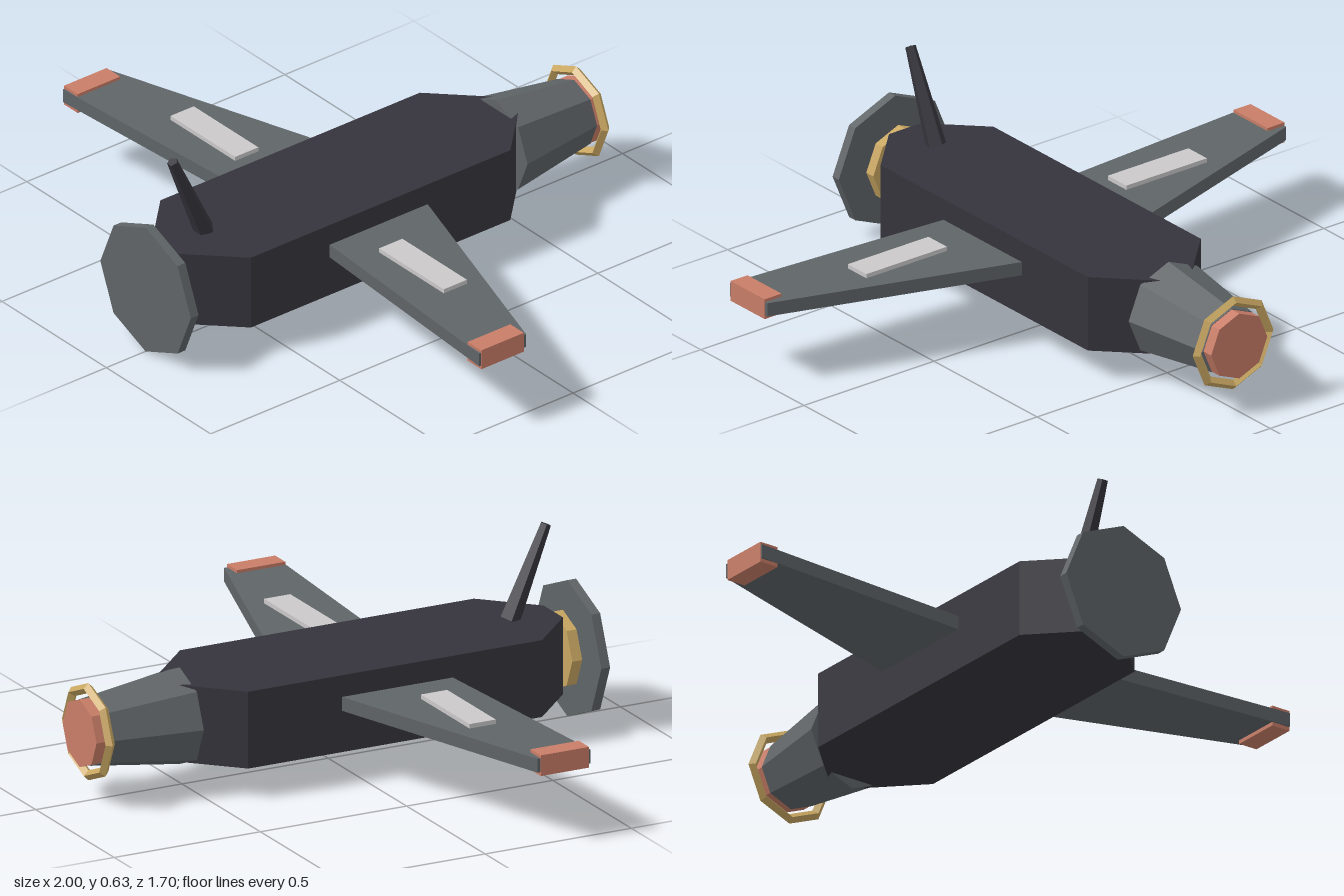
import * as THREE from 'three';

const paint = (name, color) => {
  const m = new THREE.MeshStandardMaterial({ color, flatShading: true });
  m.name = name;
  return m;
};

export function createModel() {
  const hull = paint('dark hull', 0x35343c);
  const steel = paint('grey steel', 0x5f6467);
  const brass = paint('brass', 0xc8a661);
  const copper = paint('copper', 0xc87d67);
  const pale = paint('pale grey', 0xcac8c8);

  const model = new THREE.Group();
  model.name = 'aircraft';
  const AXIS = 0.222; // height of the long axis

  const add = (name, geometry, material, x = 0, y = 0, z = 0) => {
    const mesh = new THREE.Mesh(geometry, material);
    mesh.name = name;
    mesh.position.set(x, y, z);
    model.add(mesh);
    return mesh;
  };

  // Plan outline of [x, z] points, extruded down from the mesh height
  const slab = (points, depth) => {
    const shape = new THREE.Shape(points.map(([x, z]) => new THREE.Vector2(x, z)));
    return new THREE.ExtrudeGeometry(shape, { depth, bevelEnabled: false }).rotateX(Math.PI / 2);
  };

  // Eight-sided drum along z
  const drum = (rFront, rBack, length) =>
    new THREE.CylinderGeometry(rFront, rBack, length, 8).rotateX(Math.PI / 2);

  // Fuselage with chamfered ends
  add('fuselage', slab([
    [-0.217, -0.39], [-0.062, -0.545], [0.062, -0.545], [0.217, -0.39],
    [0.217, 0.615], [0.062, 0.77], [-0.062, 0.77], [-0.217, 0.615],
  ], 0.245), hull, 0, 0.345, 0);

  // Nose collar and disc
  add('noseCollar', drum(0.123, 0.123, 0.034), brass, 0, AXIS, 0.786);
  add('noseDisc', drum(0.217, 0.217, 0.03), steel, 0, AXIS - 0.002, 0.833);

  // Tail cone, exhaust and ring
  add('tailCone', drum(0.154, 0.11, 0.305), steel, 0, AXIS, -0.66);
  add('exhaust', drum(0.108, 0.108, 0.045), copper, 0, AXIS, -0.8275);
  add('exhaustRing', new THREE.TorusGeometry(0.139, 0.016, 4, 8), brass, 0, AXIS, -0.82);

  // Mast leaning forward
  const mast = add('mast', new THREE.CylinderGeometry(0.017, 0.033, 0.31, 5).rotateY(Math.PI),
    hull, 0, 0.487, 0.682);
  mast.rotation.x = 0.41;

  // Wings with tip caps and upper panels
  for (const [side, s] of [['left', 1], ['right', -1]]) {
    add(side + 'Wing', slab([
      [s * 0.2, -0.075], [s * 0.998, 0.18], [s * 0.998, 0.362], [s * 0.2, 0.309],
    ], 0.044), steel, 0, 0.276, 0);
    add(side + 'WingTip', new THREE.BoxGeometry(0.065, 0.066, 0.165), copper, s * 0.9675, 0.253, 0.273);
    add(side + 'WingPanel', new THREE.BoxGeometry(0.31, 0.02, 0.09), pale, s * 0.5, 0.28, 0.177);
  }
  return model;
}
